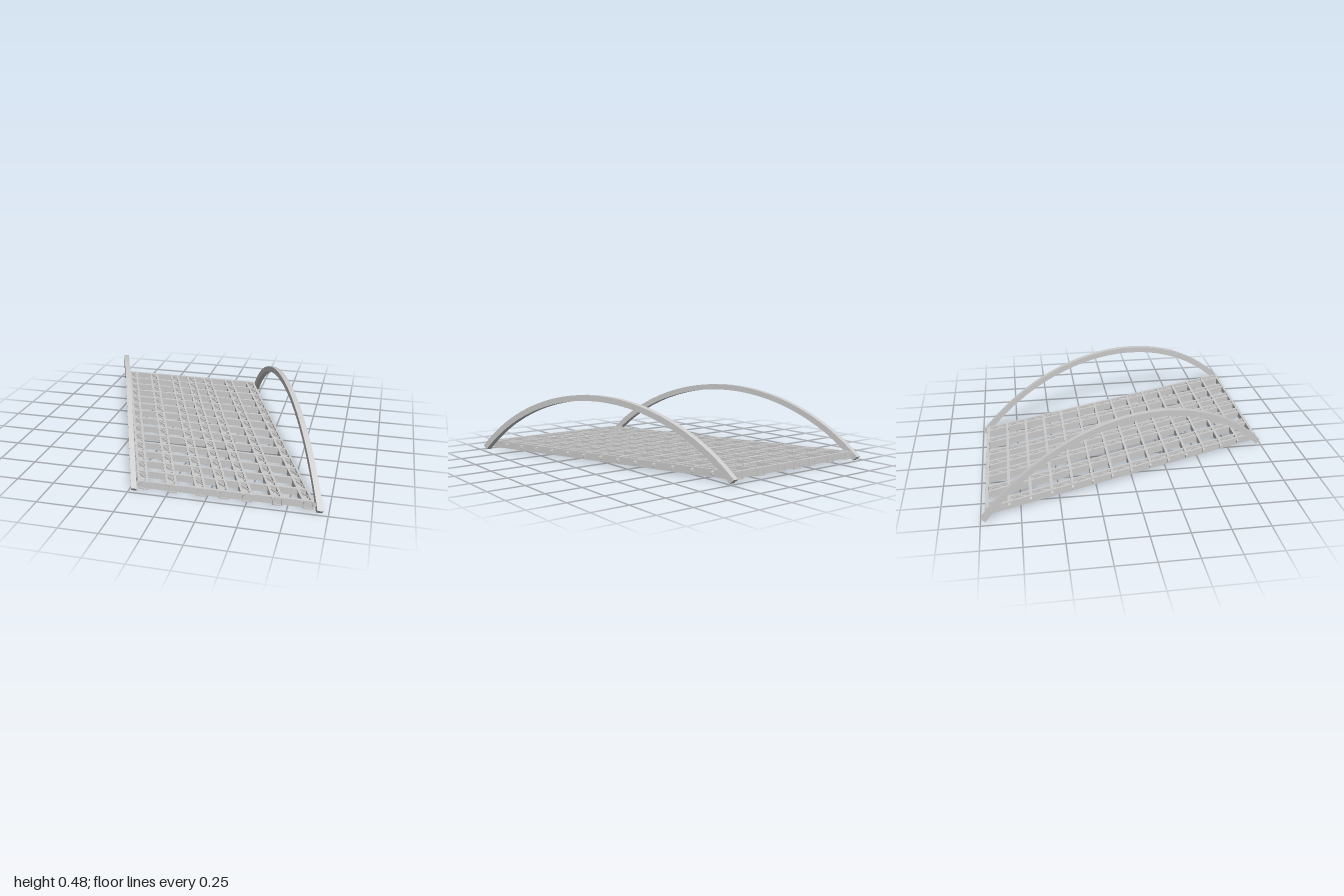
import * as THREE from 'three';
import { mergeGeometries, toCreasedNormals } from 'three/addons/utils/BufferGeometryUtils.js';

const SKEW = 0.374;            // sideways drift per unit of z
const HALF = 0.97;             // half length of the deck
const BAYS = 14;
const material = new THREE.MeshStandardMaterial({ color: 0xcccccc });

// Parts are laid out square, then sheared into the skewed plan
const shear = new THREE.Matrix4().set(
  1, 0, SKEW, 0,
  0, 1, 0, 0,
  0, 0, 1, 0,
  0, 0, 0, 1);

function part(name, geometry) {
  const mesh = new THREE.Mesh(geometry.applyMatrix4(shear), material);
  mesh.name = name;
  return mesh;
}

function box(w, h, d, x, y, z) {
  return new THREE.BoxGeometry(w, h, d).translate(x, y, z);
}

// Flat bar running level from (x1, z1) to (x2, z2)
function bar(x1, z1, x2, z2, y) {
  const dx = x2 - x1, dz = z2 - z1;
  return new THREE.BoxGeometry(0.008, 0.008, Math.hypot(dx, dz))
    .rotateY(Math.atan2(dx, dz))
    .translate((x1 + x2) / 2, y, (z1 + z2) / 2);
}

// Arched rib: a band of a circle with radially cut feet
function archGeometry() {
  const R = 1.463, t = 0.02, a = 0.8, cy = -1.003;
  const shape = new THREE.Shape();
  shape.absarc(0, cy, R + t, Math.PI / 2 - a, Math.PI / 2 + a, false);
  shape.absarc(0, cy, R - t, Math.PI / 2 + a, Math.PI / 2 - a, true);
  const geometry = new THREE.ExtrudeGeometry(shape, { depth: 0.036, bevelEnabled: false, curveSegments: 40 });
  geometry.translate(0, 0, -0.018).rotateY(-Math.PI / 2);
  geometry.scale(1, 1, 1 / Math.hypot(1, SKEW));
  return toCreasedNormals(geometry, 0.5);
}

// Trough beam: floor plate, two webs, two top rails and zigzag lacing
function beamGeometry(x) {
  const pieces = [box(0.062, 0.008, HALF * 2, x, 0.022, 0)];
  for (const s of [-1, 1]) {
    pieces.push(box(0.008, 0.044, HALF * 2, x + s * 0.027, 0.044, 0));
    pieces.push(box(0.016, 0.008, HALF * 2, x + s * 0.028, 0.066, 0));
  }
  const step = HALF * 2 / (BAYS * 2);
  for (let i = 0; i < BAYS * 2; i++) {
    const z = -HALF + i * step, s = i % 2 ? 1 : -1;
    pieces.push(bar(x + s * 0.024, z, x - s * 0.024, z + step, 0.06));
  }
  return mergeGeometries(pieces);
}

// Cross beam with ends tapering to small tips
function crossBeamGeometry(z) {
  const e = 0.53, tip = 0.565;
  const shape = new THREE.Shape([
    [-tip, 0.037], [-e, 0.024], [e, 0.024], [tip, 0.037],
    [tip, 0.053], [e, 0.066], [-e, 0.066], [-tip, 0.053],
  ].map(([x, y]) => new THREE.Vector2(x, y)));
  const web = new THREE.ExtrudeGeometry(shape, { depth: 0.012, bevelEnabled: false })
    .translate(0, 0, z - 0.006);
  const flange = box(1.08, 0.006, 0.018, 0, 0.068, z).toNonIndexed();
  return mergeGeometries([web, flange]);
}

export function createModel() {
  const model = new THREE.Group();
  model.name = 'skewArchBridge';

  for (const [name, x] of [['rightArch', -0.58], ['leftArch', 0.58]]) {
    model.add(part(name, archGeometry().translate(x, 0, 0)));
  }

  const deck = new THREE.Group();
  deck.name = 'deck';
  for (const x of [-0.515, -0.33, -0.145, 0, 0.145, 0.33, 0.515]) {
    deck.add(part('longBeam', beamGeometry(x)));
  }
  for (let i = 0; i <= BAYS; i++) {
    deck.add(part('crossBeam', crossBeamGeometry((i / BAYS * 2 - 1) * 0.957)));
  }
  model.add(deck);
  return model;
}
